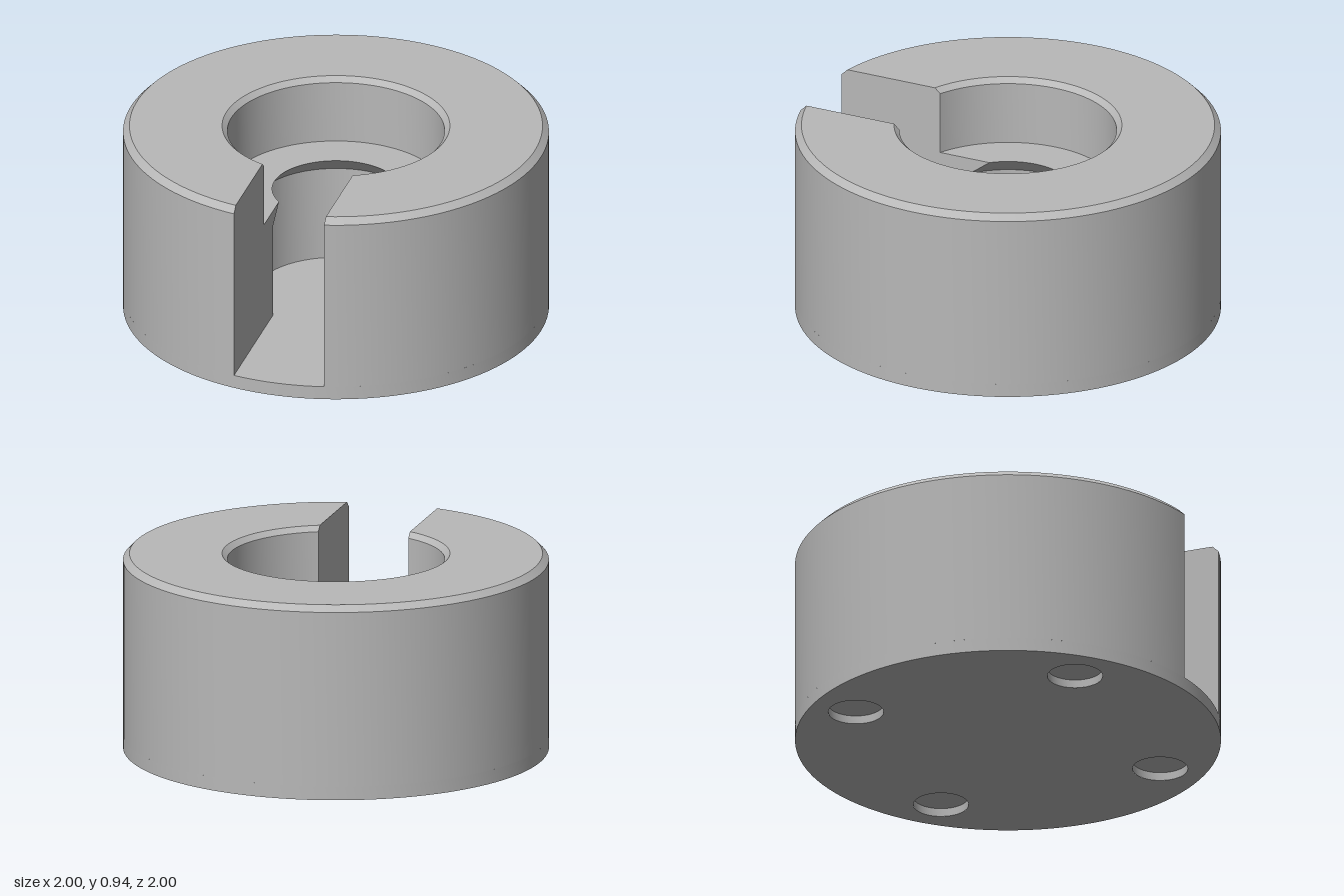
import * as THREE from 'three';

const SLOT = 0.22;      // half width of the front slot
const FLOOR = 0.065;    // height of the slot floor
const STEPS = 128;

// Sweeps one straight profile edge around y, leaving a gap of half width `gap` at +z
function band([r1, y1], [r2, y2], gap = 0, steps = STEPS) {
  const pos = [], index = [];
  for (let i = 0; i <= steps; i++) {
    for (const [r, y] of [[r1, y1], [r2, y2]]) {
      const start = Math.asin(gap / r);
      const t = start + (i / steps) * (2 * Math.PI - 2 * start);
      pos.push(r * Math.sin(t), y, r * Math.cos(t));
    }
    if (i < steps) {
      const a = 2 * i;
      index.push(a, a + 2, a + 1, a + 2, a + 3, a + 1);
    }
  }
  const g = new THREE.BufferGeometry();
  g.setAttribute('position', new THREE.Float32BufferAttribute(pos, 3));
  g.setIndex(index);
  g.computeVertexNormals();
  return g;
}

export function createModel() {
  const model = new THREE.Group();
  model.name = 'slottedHolder';
  const grey = new THREE.MeshStandardMaterial({ color: 0xb8b8b8 });
  grey.name = 'grey';

  const add = (parent, name, geometry) => {
    const mesh = new THREE.Mesh(geometry, grey);
    mesh.name = name;
    parent.add(mesh);
    return mesh;
  };

  // C-shaped body: chamfered rim, stepped bore and undercut lower cavity
  const body = new THREE.Group();
  body.name = 'body';
  model.add(body);
  const profile = [
    [1, FLOOR], [1, 0.91], [0.97, 0.94], [0.535, 0.94], [0.51, 0.915],
    [0.51, 0.61], [0.3, 0.61], [0.38, 0.53], [0.38, FLOOR],
  ];
  const names = ['outerWall', 'outerChamfer', 'topFace', 'boreChamfer', 'boreWall',
    'ledge', 'undercut', 'cavityWall'];
  names.forEach((name, i) => add(body, name, band(profile[i], profile[i + 1], SLOT)));

  // Flat slot walls: the profile cut at x = +-SLOT
  for (const side of [1, -1]) {
    const outline = profile.map(([r, y]) =>
      new THREE.Vector2(side * Math.sqrt(r * r - SLOT * SLOT), y));
    const wall = new THREE.ShapeGeometry(new THREE.Shape(outline));
    wall.rotateY(-side * Math.PI / 2);
    add(body, side > 0 ? 'leftSlotWall' : 'rightSlotWall', wall).position.x = side * SLOT;
  }

  // Base disc
  const base = new THREE.Group();
  base.name = 'base';
  model.add(base);
  add(base, 'baseRim', band([1, 0], [1, FLOOR]));
  const floor = new THREE.CircleGeometry(1, STEPS).rotateX(-Math.PI / 2);
  add(base, 'slotFloor', floor).position.y = FLOOR;

  // Underside with four shallow round foot recesses
  const underside = new THREE.Shape().absarc(0, 0, 1, 0, Math.PI * 2);
  const holeR = 0.13, depth = 0.04, offset = 0.552;
  for (const sx of [1, -1]) {
    for (const sz of [1, -1]) {
      const x = sx * offset, z = sz * offset;
      underside.holes.push(new THREE.Path().absarc(x, z, holeR, 0, Math.PI * 2, true));
      add(base, 'recessWall', band([holeR, depth], [holeR, 0], 0, 48)).position.set(x, 0, z);
      const cap = new THREE.CircleGeometry(holeR, 48).rotateX(Math.PI / 2);
      add(base, 'recessCeiling', cap).position.set(x, depth, z);
    }
  }
  add(base, 'underside', new THREE.ShapeGeometry(underside, 64).rotateX(Math.PI / 2));

  return model;
}
